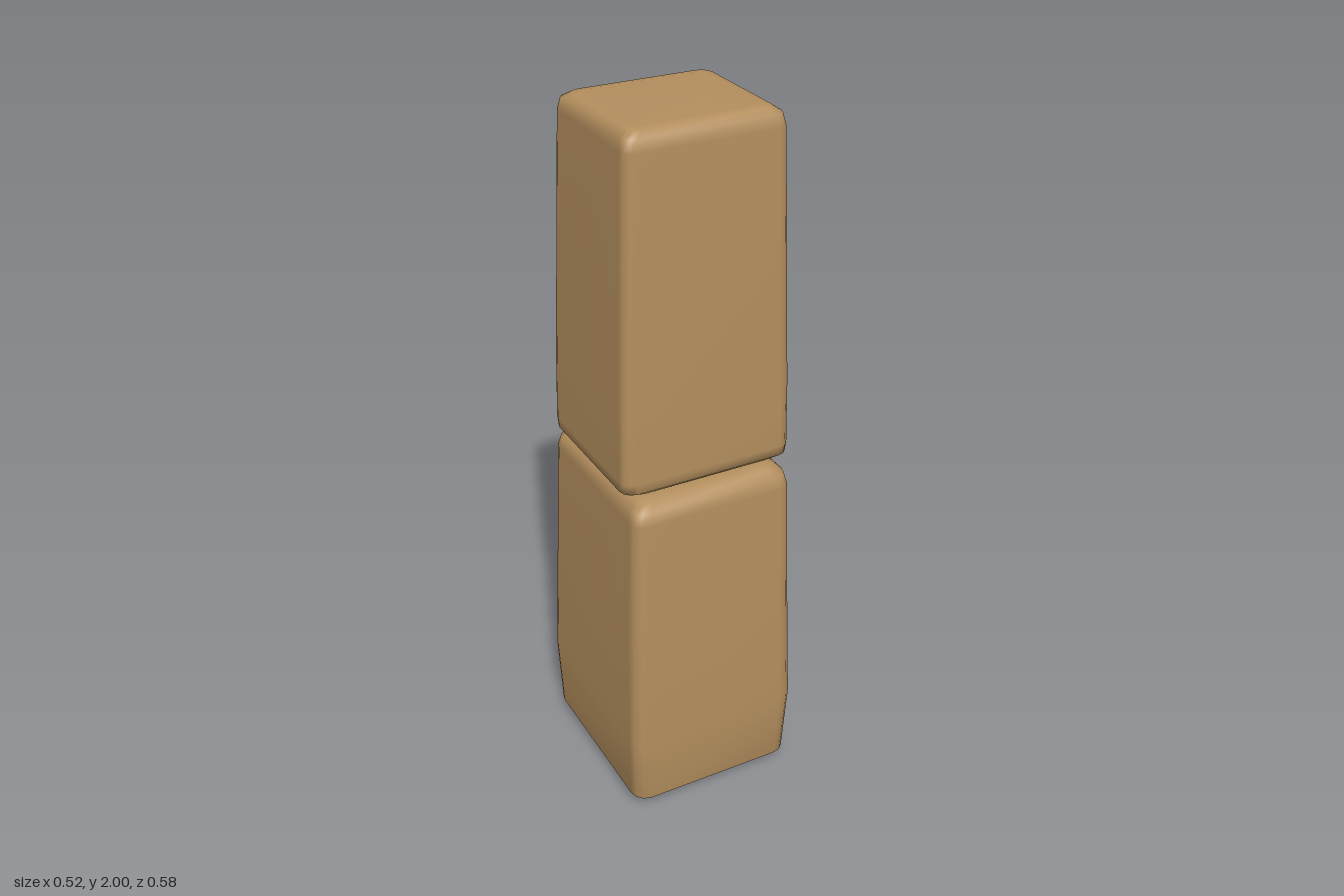
import * as THREE from 'three';

const CORNER_STEPS = 3;

// Rounded rectangle at height y, running counter-clockwise seen from below
function ring(y, hx, hz, r) {
  const pts = [];
  [[1, 1], [-1, 1], [-1, -1], [1, -1]].forEach(([sx, sz], q) => {
    for (let i = 0; i <= CORNER_STEPS; i++) {
      const a = (q + i / CORNER_STEPS) * Math.PI / 2;
      pts.push([sx * (hx - r) + r * Math.cos(a), y, sz * (hz - r) + r * Math.sin(a)]);
    }
  });
  return pts;
}

// Soft block lofted through [y, halfWidth, halfDepth, cornerRadius] sections
function softBlock(name, sections, material) {
  const rings = sections.map((s) => ring(...s));
  const n = rings[0].length;
  const positions = rings.flat(2);
  const index = [];
  for (let k = 0; k < rings.length - 1; k++) {
    for (let i = 0; i < n; i++) {
      const a = k * n + i, b = k * n + (i + 1) % n;
      index.push(a, a + n, b, b, a + n, b + n);
    }
  }
  // Bottom and top caps
  const bottom = positions.length / 3, top = bottom + 1, last = (rings.length - 1) * n;
  positions.push(0, sections[0][0], 0, 0, sections[sections.length - 1][0], 0);
  for (let i = 0; i < n; i++) {
    const j = (i + 1) % n;
    index.push(bottom, i, j, top, last + j, last + i);
  }
  const geometry = new THREE.BufferGeometry();
  geometry.setAttribute('position', new THREE.Float32BufferAttribute(positions, 3));
  geometry.setIndex(index);
  geometry.computeVertexNormals();
  const mesh = new THREE.Mesh(geometry, material);
  mesh.name = name;
  return mesh;
}

export function createModel() {
  const group = new THREE.Group();
  group.name = 'stackedBlocks';
  const tan = new THREE.MeshStandardMaterial({ color: 0xb48f5e });
  tan.name = 'tan';

  // Wider lower block, bulging slightly above its base
  group.add(softBlock('lowerBlock', [
    [0.0, 0.2, 0.22, 0.04],
    [0.012, 0.23, 0.255, 0.045],
    [0.035, 0.25, 0.278, 0.045],
    [0.25, 0.259, 0.288, 0.045],
    [0.6, 0.249, 0.274, 0.045],
    [0.96, 0.238, 0.26, 0.04],
    [0.995, 0.23, 0.252, 0.04],
    [1.012, 0.21, 0.23, 0.035],
    [1.02, 0.18, 0.2, 0.03],
  ], tan));

  // Narrower tapering upper block
  group.add(softBlock('upperBlock', [
    [1.02, 0.18, 0.165, 0.03],
    [1.025, 0.215, 0.2, 0.035],
    [1.045, 0.247, 0.223, 0.035],
    [1.075, 0.249, 0.226, 0.035],
    [1.25, 0.246, 0.223, 0.035],
    [1.65, 0.234, 0.211, 0.035],
    [1.95, 0.223, 0.2, 0.03],
    [1.982, 0.216, 0.193, 0.03],
    [1.996, 0.196, 0.173, 0.03],
    [2.0, 0.17, 0.148, 0.025],
  ], tan));

  return group;
}
